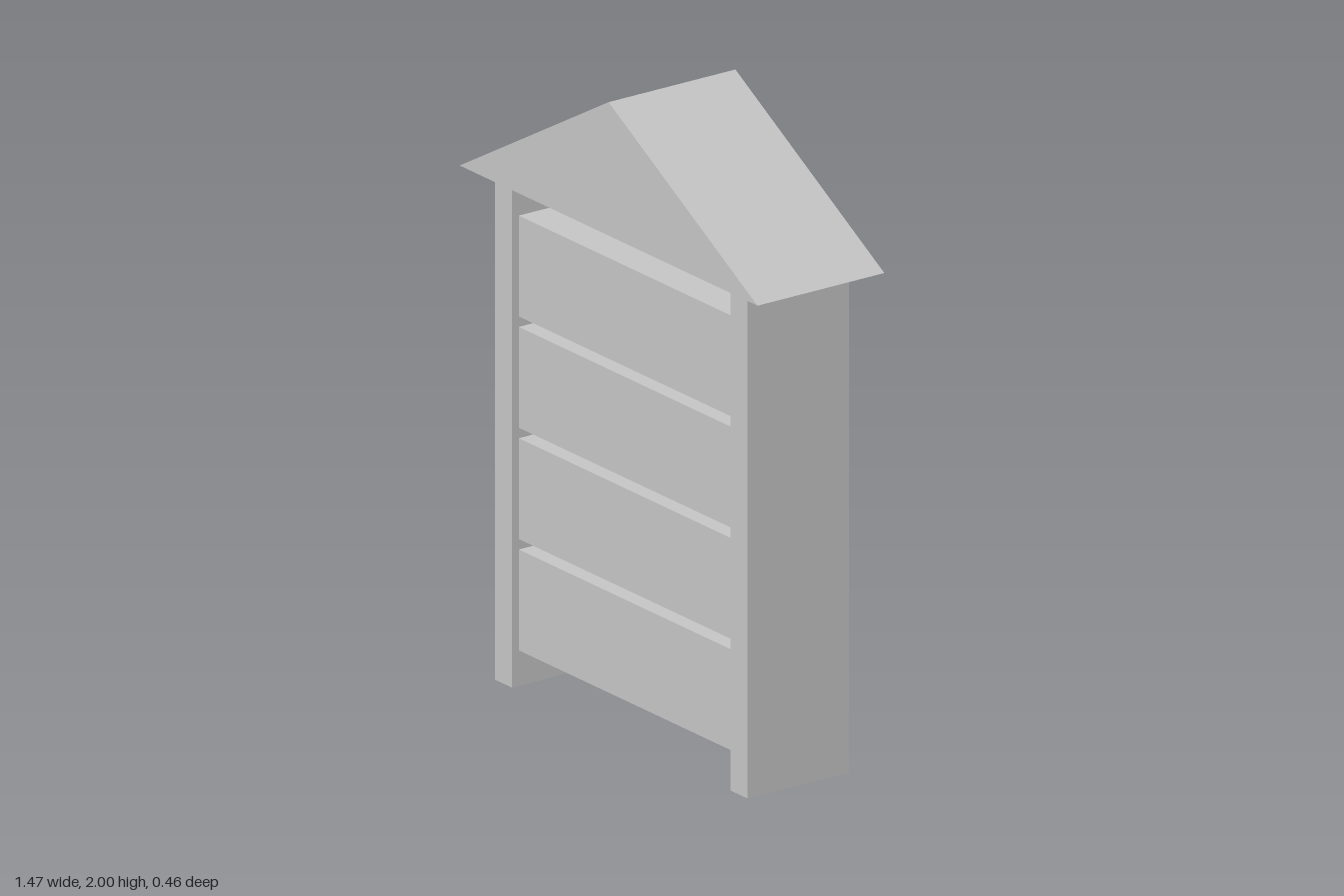
import * as THREE from 'three';

export function createModel() {
  const model = new THREE.Group();
  model.name = 'slattedShelter';
  const grey = new THREE.MeshStandardMaterial({ color: 0xc4c4c4 });
  grey.name = 'plain grey';

  const add = (name, geometry, x, y, z) => {
    const mesh = new THREE.Mesh(geometry, grey);
    mesh.name = name;
    mesh.position.set(x, y, z);
    model.add(mesh);
  };

  // Side panels standing on the ground
  const wallHeight = 1.583;
  for (const [name, side] of [['leftPanel', 1], ['rightPanel', -1]]) {
    add(name, new THREE.BoxGeometry(0.084, wallHeight, 0.37), side * 0.58, wallHeight / 2, 0);
  }

  // Four stacked boxes, set back slightly from the panel edges
  for (let i = 0; i < 4; i++) {
    add(`box${i + 1}`, new THREE.BoxGeometry(1.076, 0.315, 0.32), 0, 0.2685 + i * 0.3477, 0);
  }

  // Solid gable roof
  const gable = new THREE.Shape([
    new THREE.Vector2(-0.733, 0),
    new THREE.Vector2(0.733, 0),
    new THREE.Vector2(0, 2 - wallHeight),
  ]);
  const roof = new THREE.ExtrudeGeometry(gable, { depth: 0.462, bevelEnabled: false });
  add('roof', roof, 0, wallHeight, -0.231);

  return model;
}
